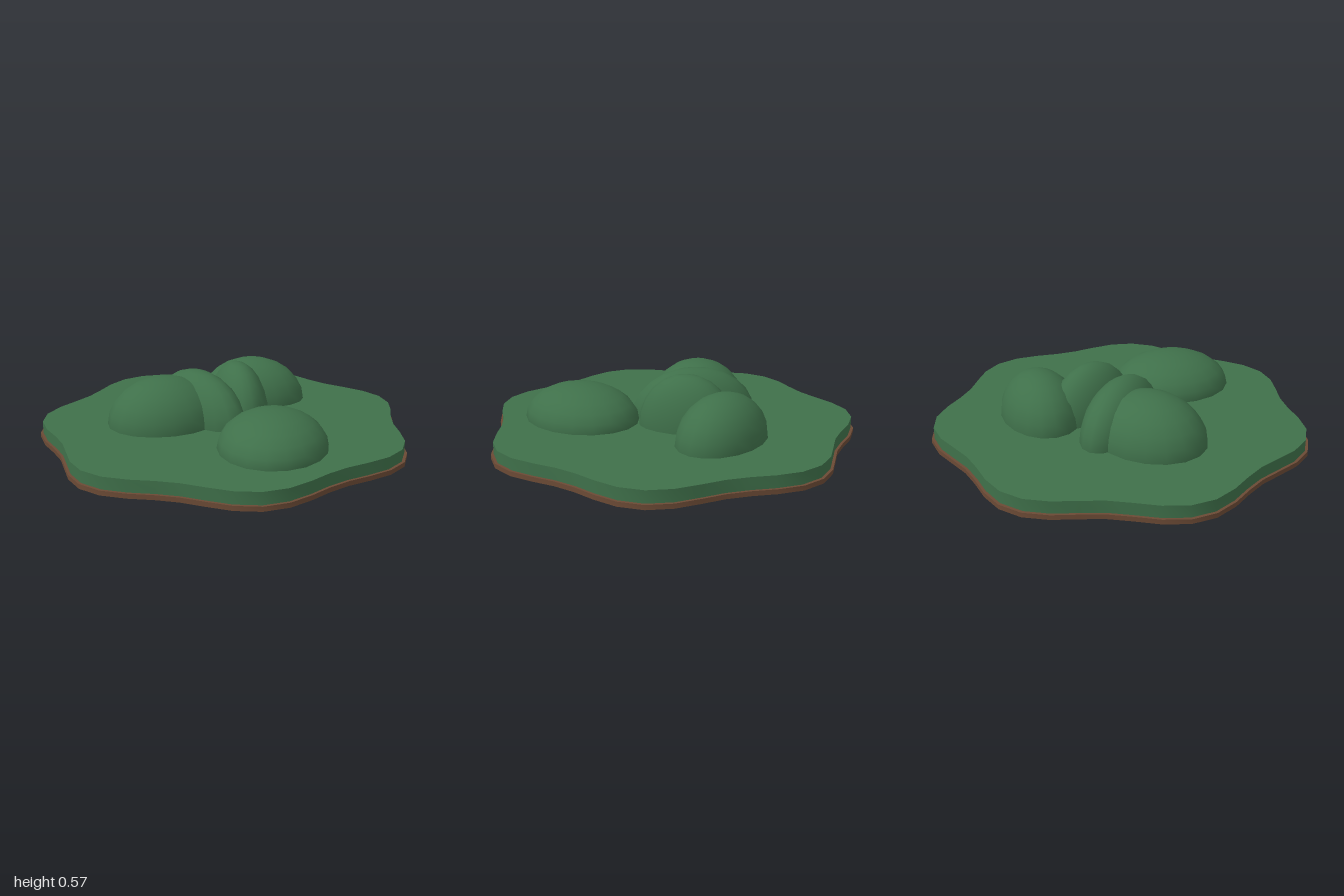
import * as THREE from 'three';
import { toCreasedNormals } from 'three/addons/utils/BufferGeometryUtils.js';

const green = new THREE.MeshStandardMaterial({ color: 0x3f704a });
green.name = 'leafGreen';
const brown = new THREE.MeshStandardMaterial({ color: 0x6b4a35 });
brown.name = 'soilBrown';

// Flat slab with a wavy seven-lobed outline
function slab(name, scale, bottom, height, material) {
  const points = [];
  const segments = 48;
  for (let i = 0; i < segments; i++) {
    const a = (i / segments) * Math.PI * 2;
    const r = scale * (0.973 + 0.047 * Math.cos(7 * a));
    points.push(new THREE.Vector2(-0.04 + r * Math.cos(a), r * Math.sin(a)));
  }
  const geometry = new THREE.ExtrudeGeometry(new THREE.Shape(points), { depth: height, bevelEnabled: false });
  geometry.rotateX(-Math.PI / 2);
  geometry.translate(0, bottom, 0);
  const mesh = new THREE.Mesh(toCreasedNormals(geometry, 0.6), material);
  mesh.name = name;
  return mesh;
}

// Ellipsoid mound: centre, semi-axes and heading in degrees from +x towards +z
function mound(name, x, z, long, height, short, heading) {
  const mesh = new THREE.Mesh(new THREE.SphereGeometry(1, 18, 12), green);
  mesh.name = name;
  mesh.position.set(x, 0.285, z);
  mesh.scale.set(long, height, short);
  mesh.rotation.y = -THREE.MathUtils.degToRad(heading);
  return mesh;
}

export function createModel() {
  const model = new THREE.Group();
  model.name = 'bushPatch';

  model.add(slab('soilBase', 1, 0.195, 0.025, brown));
  model.add(slab('grassTop', 0.985, 0.22, 0.065, green));

  const bushes = new THREE.Group();
  bushes.name = 'bushes';
  bushes.add(
    mound('leftBush', 0.37, 0.26, 0.335, 0.19, 0.284, 70),
    mound('frontRightBush', -0.325, 0.17, 0.316, 0.247, 0.267, -54),
    mound('middleBush', -0.195, 0.01, 0.344, 0.26, 0.164, 22),
    mound('innerBush', -0.045, -0.16, 0.262, 0.285, 0.155, 44),
    mound('backBush', -0.09, -0.43, 0.302, 0.243, 0.213, -24)
  );
  model.add(bushes);
  return model;
}
